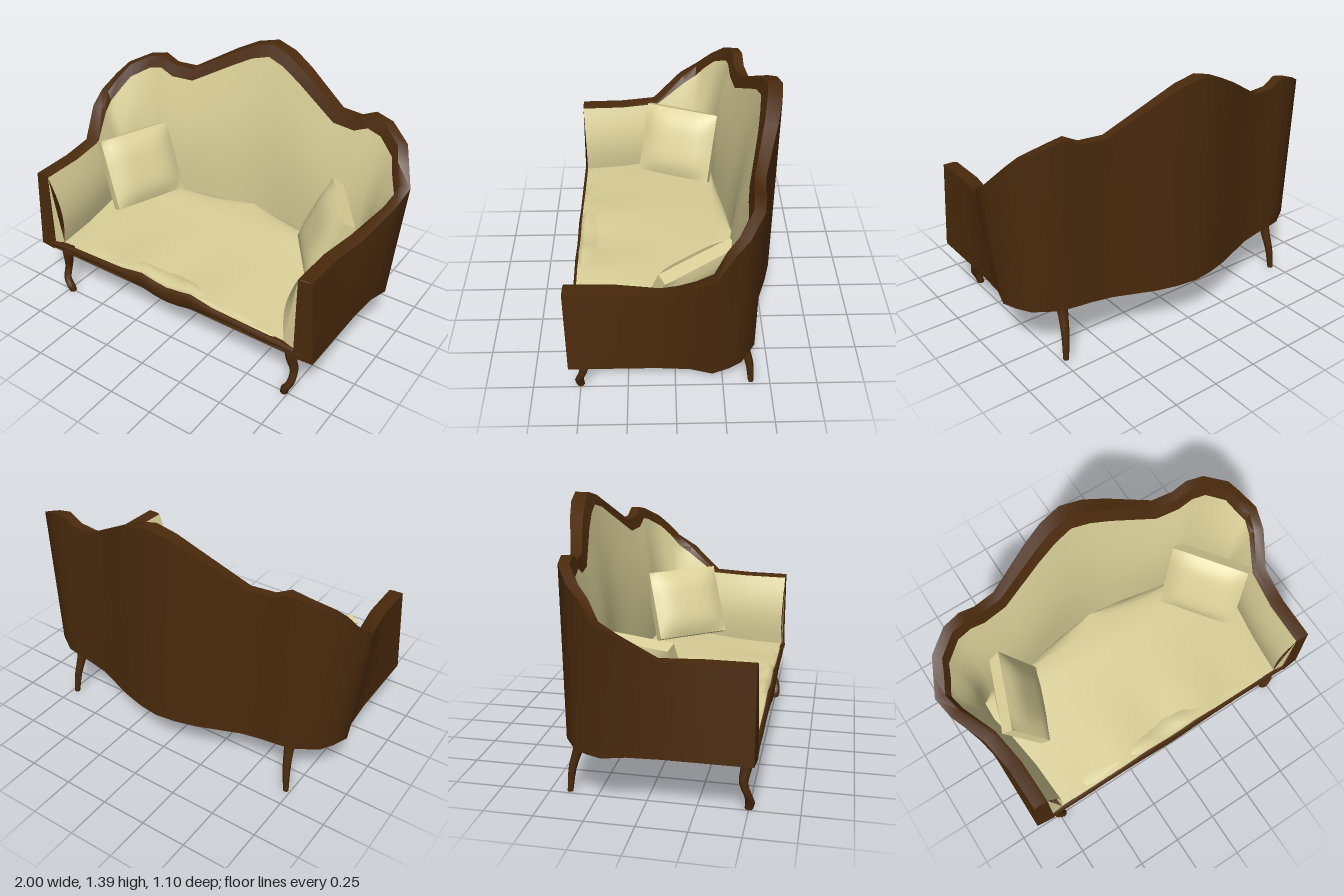
import * as THREE from 'three';
import { toCreasedNormals } from 'three/addons/utils/BufferGeometryUtils.js';

const wood = new THREE.MeshStandardMaterial({ color: 0x4a2a0c, side: THREE.DoubleSide });
const fabric = new THREE.MeshStandardMaterial({ color: 0xd9cf97, side: THREE.DoubleSide });
const V = (x, y, z) => new THREE.Vector3(x, y, z);
const flip = (p) => V(-p.x, p.y, p.z);
const { lerp, smoothstep } = THREE.MathUtils;

// Surface through a grid of points (rows of equal length)
function loft(rows, crease = 0.9) {
  const n = rows[0].length, index = [];
  for (let i = 0; i < rows.length - 1; i++) {
    for (let j = 0; j < n - 1; j++) {
      const a = i * n + j, b = a + 1, c = a + n, d = c + 1;
      index.push(a, c, b, b, c, d);
    }
  }
  const g = new THREE.BufferGeometry().setFromPoints(rows.flat());
  g.setIndex(index);
  return toCreasedNormals(g, crease);
}

// Top outline from back centre round to the arm front
const outline = [
  [0, 1.39, -0.555], [0.12, 1.36, -0.54], [0.24, 1.3, -0.51], [0.48, 1.16, -0.435], [0.6, 1.16, -0.42],
  [0.68, 1.2, -0.415], [0.78, 1.18, -0.4], [0.9, 1.12, -0.325], [0.945, 1.06, -0.255], [1, 0.97, -0.175],
  [0.98, 0.91, -0.065], [0.9, 0.78, 0.1], [0.87, 0.777, 0.3], [0.865, 0.775, 0.535],
].map((p) => V(...p));

// Each station gets an inset rim, a padding foot at the seat and an outer base
const half = outline.map((top, i) => {
  const before = i ? outline[i - 1] : flip(outline[1]);
  const along = (outline[i + 1] ?? top).clone().sub(before).setY(0).normalize();
  const rim = V(-along.z, 0, along.x).multiplyScalar(0.077 + 0.03 * smoothstep(top.y, 1.16, 1.39)).add(top);
  rim.y -= 0.005 + 0.06 * smoothstep(top.y, 0.78, 1.05);
  const foot = V(
    Math.min(top.x * 0.92, 0.79 - 0.065 * smoothstep(top.z, -0.1, 0.53)),
    0.4 - 0.04 * smoothstep(top.z, -0.35, 0.5),
    rim.z * (rim.z < 0 ? 0.75 : 0.985));
  const base = V(
    lerp(top.x * 0.96, 0.895, smoothstep(top.z, -0.33, 0.05)),
    0.27 + 0.03 * smoothstep(top.x, 0.2, 0.8),
    top.z);
  return { top, rim, foot, base };
});
const mirrored = (s) => Object.fromEntries(Object.entries(s).map(([k, p]) => [k, flip(p)]));
const loop = [...half.slice(1).reverse().map(mirrored), ...half];

// Outer shell: base, wall, then the flat-topped rim
function shellRow({ top, rim, base }) {
  const edge = top.clone().lerp(rim, 0.7);
  edge.y = top.y;
  return [base, base.clone().lerp(top, 0.35), base.clone().lerp(top, 0.7), top, edge, rim];
}

// Padded inside of the back and arms
function paddingRow({ rim, foot }) {
  const inward = foot.clone().sub(rim).setY(0).normalize();
  return Array.from({ length: 9 }, (_, i) => {
    const t = i / 8;
    return rim.clone().lerp(foot, t).addScaledVector(inward, 0.035 * Math.sin(Math.PI * t));
  });
}

// Row across the sofa between a point and its mirror image
function acrossRow(p, rise) {
  return Array.from({ length: 17 }, (_, i) => {
    const u = i / 8 - 1;
    return V(p.x * u, p.y + rise(u), p.z);
  });
}

// Front rail wave, listed from centre to side: x, lower y, upper y
const wave = [[0, 0.27, 0.365], [0.08, 0.278, 0.375], [0.16, 0.295, 0.39], [0.3, 0.31, 0.365],
  [0.45, 0.315, 0.36], [0.6, 0.305, 0.355], [0.72, 0.315, 0.35], [0.82, 0.3, 0.345]];
const rail = [...wave.slice(1).reverse().map(([x, a, b]) => [-x, a, b]), ...wave];

// Square cushion, thick in the middle and thin at the edges
function cushionGeometry() {
  const g = new THREE.BoxGeometry(1, 0.41, 0.44, 2, 10, 10);
  const p = g.attributes.position;
  for (let i = 0; i < p.count; i++) {
    const u = p.getY(i) / 0.205, v = p.getZ(i) / 0.22;
    p.setX(i, p.getX(i) * (0.06 + 0.09 * (1 - u ** 4) * (1 - v ** 4)));
  }
  return toCreasedNormals(g, 0.9);
}

// Leg from rings along a path: x, y, z, radius
function legGeometry(path) {
  const curve = new THREE.CatmullRomCurve3(path.map(([x, y, z]) => V(x, y, z)));
  const steps = (path.length - 1) * 3;
  const ring = (c, r) => Array.from({ length: 9 }, (_, j) =>
    V(c.x + r * Math.cos(j * Math.PI / 4), c.y, c.z - r * Math.sin(j * Math.PI / 4)));
  const rows = Array.from({ length: steps + 1 }, (_, i) => {
    const k = Math.min(Math.floor(i / 3), path.length - 2);
    return ring(curve.getPoint(i / steps), lerp(path[k][3], path[k + 1][3], i / 3 - k));
  });
  rows.push(ring(curve.getPoint(1), 0));
  return loft(rows, 1.0);
}

export function createModel() {
  const group = new THREE.Group();
  const add = (name, geometry, material) => {
    const mesh = new THREE.Mesh(geometry, material);
    mesh.name = name;
    group.add(mesh);
    return mesh;
  };

  add('outerShell', loft(loop.map(shellRow)), wood);
  add('backPadding', loft(loop.map(paddingRow), 1.2), fabric);

  // Seat with a gentle crown and a wave towards the front rail
  add('seat', loft(half.map(({ foot }) => {
    const front = smoothstep(foot.z, 0.1, 0.53);
    return acrossRow(foot, (u) => (1 - u * u) * (0.03 - 0.015 * front * Math.cos(u * 9)));
  }), 1.2), fabric);
  add('underside', loft(half.map(({ base }) => acrossRow(base, () => 0).reverse())), wood);

  // Wavy front rail and the seat roll just above it
  add('frontRail', loft(rail.map(([x, low, high]) => [
    V(x, 0.3, 0.44), V(x, low, 0.53), V(x, low + 0.02, 0.545), V(x, high - 0.015, 0.545),
    V(x, high, 0.535), V(x, high, 0.48)])), wood);
  add('seatRoll', loft(rail.map(([x, , high]) => {
    const k = 0.88 * x, lift = 0.035 * (1 - (x / 0.82) ** 2);
    return [V(k, high - 0.01, 0.528), V(k, high + lift * 0.6, 0.525), V(k, high + lift, 0.5),
      V(k, 0.36 + lift * 0.6, 0.42)];
  }), 1.2), fabric);

  const end = half[half.length - 1];
  for (const side of [1, -1]) {
    const name = side > 0 ? 'left' : 'right';
    const m = (p) => (side > 0 ? p.clone() : flip(p));

    // Arm front and the end of its padding
    add(name + 'ArmFront', loft([[m(end.top), m(end.rim)], [m(end.base), m(V(0.79, 0.3, 0.545))]]), wood);
    add(name + 'ArmPaddingEnd', loft([[m(end.rim), m(end.rim)], [m(V(0.79, 0.34, 0.53)), m(end.foot)]]), fabric);

    // Cabriole front leg and raked back leg
    const leg = (part, path) => add(name + part, legGeometry(path.map(([x, ...r]) => [side * x, ...r])), wood);
    leg('FrontLeg', [[0.745, 0.33, 0.49, 0.035], [0.75, 0.23, 0.485, 0.028], [0.765, 0.15, 0.475, 0.022],
      [0.76, 0.08, 0.5, 0.021], [0.735, 0.035, 0.505, 0.024], [0.728, 0, 0.5, 0.021]]);
    leg('BackLeg', [[0.7, 0.32, -0.33, 0.034], [0.705, 0.22, -0.36, 0.026], [0.715, 0.12, -0.388, 0.021],
      [0.725, 0, -0.4, 0.015]]);
  }

  // Loose cushions leaning on the arms
  const addCushion = (name, x, z, yaw, lean) => {
    const cushion = add(name, cushionGeometry(), fabric);
    cushion.position.set(x, 0.625, z);
    cushion.rotation.set(0, yaw, lean, 'YXZ');
  };
  addCushion('leftCushion', 0.61, -0.06, 0.63, -0.43);
  addCushion('rightCushion', -0.62, -0.05, -0.36, 0.43);
  return group;
}
